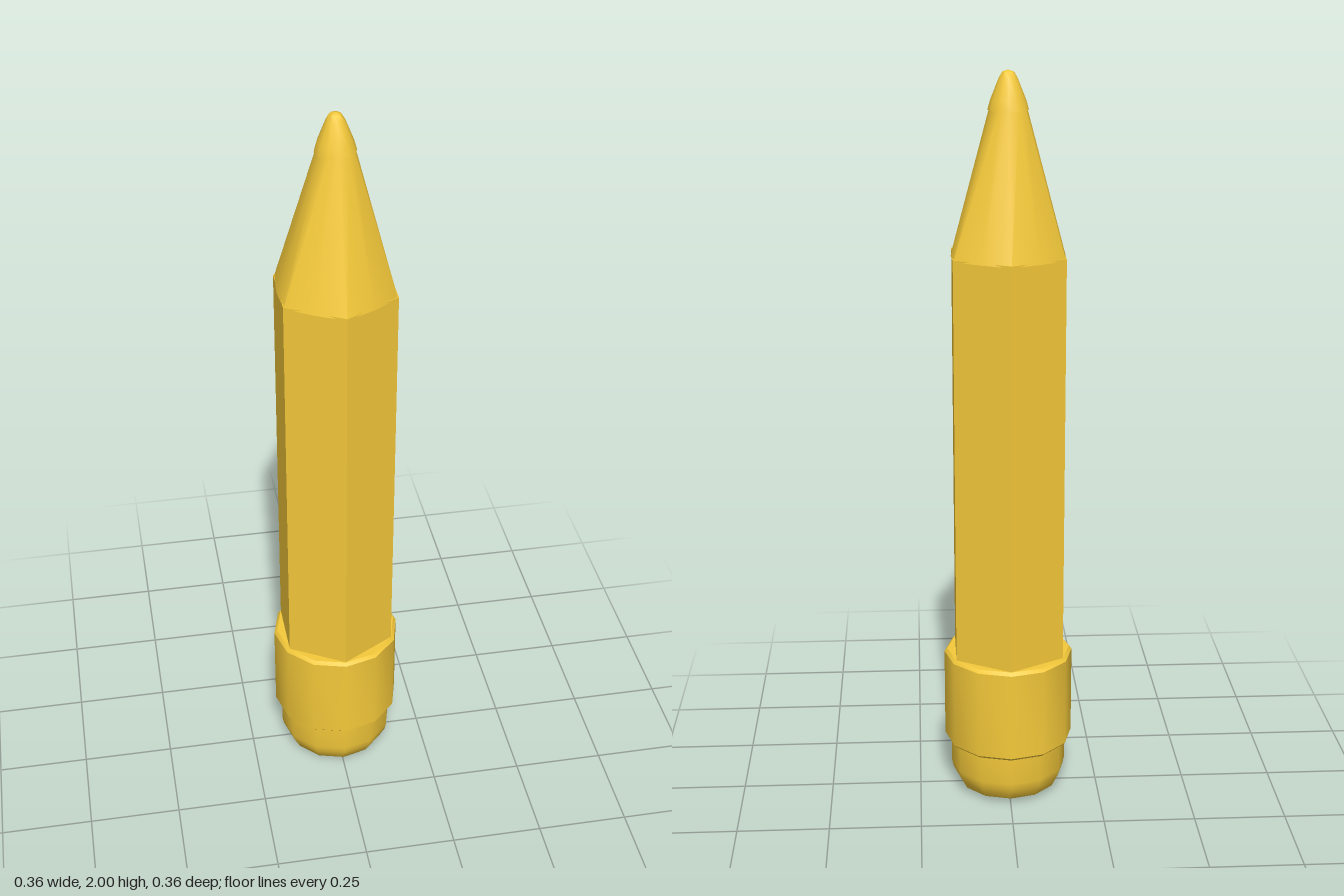
import * as THREE from 'three';
import { toCreasedNormals } from 'three/addons/utils/BufferGeometryUtils.js';

const SIDES = 12;
const material = new THREE.MeshStandardMaterial({ color: 0xf4c93a });

function part(name, geometry, crease = 0.7) {
  const mesh = new THREE.Mesh(toCreasedNormals(geometry, crease), material);
  mesh.name = name;
  return mesh;
}

// Turned part: [radius, height] pairs, listed from bottom to top
function turned(profile) {
  return new THREE.LatheGeometry(profile.map(([r, y]) => new THREE.Vector2(r, y)), SIDES);
}

export function createModel() {
  const pencil = new THREE.Group();
  pencil.name = 'pencil';

  // Rounded eraser the pencil stands on
  pencil.add(part('eraser', turned([
    [0, 0], [0.11, 0.003], [0.138, 0.015], [0.156, 0.05], [0.16, 0.07], [0.16, 0.16],
  ])));

  // Band with chamfered rims, closed at both ends
  pencil.add(part('ferrule', turned([
    [0, 0.15], [0.17, 0.15], [0.178, 0.158], [0.178, 0.406], [0.17, 0.415], [0, 0.415],
  ])));

  // Hexagonal shaft with corners towards front and back
  const shaft = new THREE.CylinderGeometry(0.169, 0.169, 1.125, 6);
  shaft.translate(0, 0.9675, 0);
  pencil.add(part('shaft', shaft));

  // Sharpened cone: its lower rim follows the hexagon, its upper rim is round
  const cone = new THREE.CylinderGeometry(0.05, 0.167, 0.375, SIDES, 1);
  cone.translate(0, 1.7125, 0);
  const pos = cone.attributes.position;
  for (let i = 0; i < pos.count; i++) {
    if (pos.getY(i) > 1.6) continue;
    const corner = Math.round(Math.atan2(pos.getX(i), pos.getZ(i)) / (Math.PI / 6)) % 2 === 0;
    const s = corner ? 1 : 0.15 / 0.167;
    pos.setXYZ(i, pos.getX(i) * s, pos.getY(i), pos.getZ(i) * s);
  }
  pencil.add(part('sharpenedCone', cone));

  // Blunt lead point
  pencil.add(part('leadTip', turned([
    [0, 1.9], [0.053, 1.9], [0.046, 1.925], [0.024, 1.98], [0.015, 1.995], [0, 2],
  ]), 0.9));

  return pencil;
}
